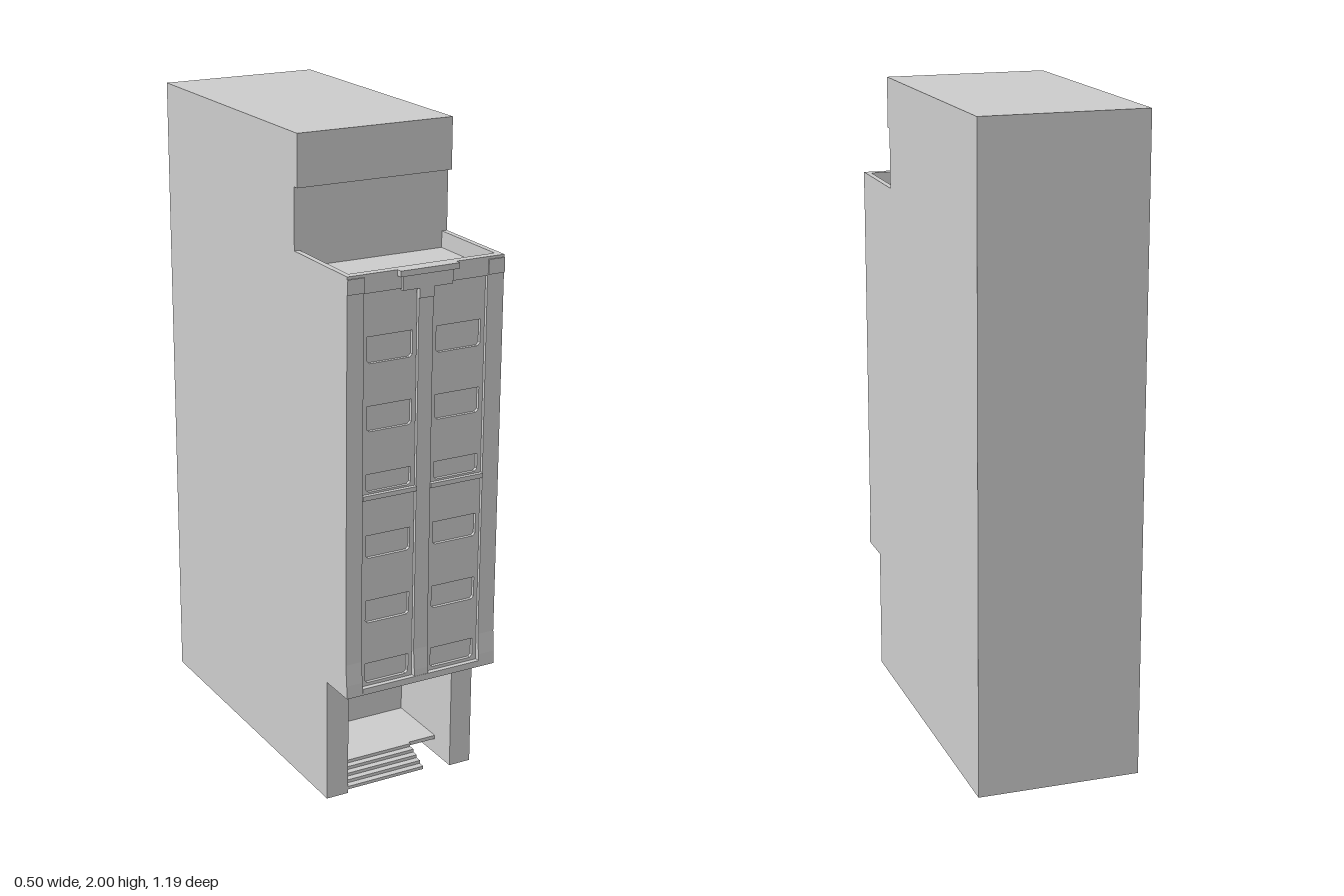
import * as THREE from 'three';

const W = 0.2525, BACK = -0.595, FACE = 0.575;

export function createModel() {
  const model = new THREE.Group();
  const mat = new THREE.MeshStandardMaterial({ color: 0xcccccc, side: THREE.DoubleSide, flatShading: true });

  const add = (name, geo) => {
    const mesh = new THREE.Mesh(geo, mat);
    mesh.name = name;
    model.add(mesh);
    return mesh;
  };
  const box = (name, [x0, x1], [y0, y1], [z0, z1]) =>
    add(name, new THREE.BoxGeometry(x1 - x0, y1 - y0, z1 - z0))
      .position.set((x0 + x1) / 2, (y0 + y1) / 2, (z0 + z1) / 2);
  // Thin sheet: the range with no extent gives its facing
  const panel = (name, [x0, x1], [y0, y1], [z0, z1]) => {
    let geo;
    if (x0 === x1) geo = new THREE.PlaneGeometry(z1 - z0, y1 - y0).rotateY(Math.PI / 2);
    else if (y0 === y1) geo = new THREE.PlaneGeometry(x1 - x0, z1 - z0).rotateX(-Math.PI / 2);
    else geo = new THREE.PlaneGeometry(x1 - x0, y1 - y0);
    add(name, geo).position.set((x0 + x1) / 2, (y0 + y1) / 2, (z0 + z1) / 2);
  };
  const poly = pts => new THREE.Shape(pts.map(p => new THREE.Vector2(...p)));
  const rect = (x0, x1, y0, y1) => poly([[x0, y0], [x1, y0], [x1, y1], [x0, y1]]);
  const plate = (name, shape, z0, z1) =>
    add(name, new THREE.ExtrudeGeometry(shape, { depth: z1 - z0, bevelEnabled: false }).translate(0, 0, z0));
  // Side profile in (z, y), swept from x0 to x1
  const sweep = (name, pts, x0, x1) =>
    add(name, new THREE.ExtrudeGeometry(poly(pts), { depth: x1 - x0, bevelEnabled: false })
      .rotateY(-Math.PI / 2).translate(x1, 0, 0));

  // Housing shell, open underneath
  const profile = [[BACK, 0], [0.46, 0], [0.46, 0.39], [FACE, 0.39], [FACE, 1.66],
    [0.265, 1.66], [0.265, 1.845], [0.285, 1.845], [0.285, 2], [BACK, 2]];
  for (const s of [-1, 1])
    add('sideWall', new THREE.ShapeGeometry(poly(profile)).rotateY(-Math.PI / 2).translate(s * W, 0, 0));
  const full = [-W, W];
  panel('backWall', full, [0, 2], [BACK, BACK]);
  panel('topWall', full, [2, 2], [BACK, 0.285]);
  panel('headFront', full, [1.845, 2], [0.285, 0.285]);
  panel('headUnderside', full, [1.845, 1.845], [0.265, 0.285]);
  panel('neckFront', full, [1.61, 1.845], [0.265, 0.265]);

  // Shallow tray on the shoulder
  panel('trayFloor', full, [1.61, 1.61], [0.265, 0.55]);
  for (const s of [-1, 1])
    box('trayRim', s < 0 ? [-W, -0.235] : [0.235, W], [1.61, 1.66], [0.265, 0.55]);

  // Lower front with its cavity
  panel('ledgeUnderside', full, [0.39, 0.39], [0.16, FACE]);
  panel('cavityBack', [-0.18, 0.18], [0.05, 0.39], [0.16, 0.16]);
  for (const s of [-1, 1]) {
    panel('cavitySide', [s * 0.18, s * 0.18], [0, 0.39], [0.16, 0.46]);
    panel('lowerFront', s < 0 ? [-W, -0.18] : [0.18, W], [0, 0.39], [0.46, 0.46]);
  }
  box('cavityFloor', [-0.18, 0.18], [0.05, 0.062], [0.16, 0.37]);

  // Stepped release clip
  const stairs = [[0.36, 0.05], [0.36, 0.062]];
  for (let i = 0; i < 5; i++) {
    const z = 0.38 + i * 0.02, y = 0.062 - i * 0.01;
    stairs.push([z, y], [z, y - 0.01]);
  }
  stairs.push([0.44, 0.006]);
  sweep('releaseClip', stairs, -0.18, 0.085);

  // Face plate with two marker columns, each in an upper and a lower half
  const face = rect(-W, W, 0.39, 1.66);
  const halves = [
    { y: [1.012, 1.605], windows: [[1.4, 1.478], [1.2, 1.275], [1.018, 1.072]] },
    { y: [0.41, 0.998], windows: [[0.815, 0.885], [0.612, 0.682], [0.42, 0.482]] },
  ];
  const columns = [[-0.2, -0.025], [0.022, 0.198]];
  for (const [x0, x1] of columns) {
    for (const { y: [y0, y1], windows } of halves) {
      face.holes.push(rect(x0, x1, y0, y1));
      const marker = rect(x0 + 0.002, x1 - 0.002, y0, y1);
      for (const [a, b] of windows) {
        const l = x0 + 0.015, r = x1 - 0.015, c = 0.008;
        marker.holes.push(poly([[l + c, a], [r - c, a], [r, a + c], [r, b], [l, b], [l, a + c]]));
      }
      plate('markerPlate', marker, 0.555, 0.568);
      panel('windowBack', [x0, x1], [y0, y1], [0.558, 0.558]);
    }
    box('columnDivider', [x0, x1], [0.998, 1.012], [0.555, 0.58]);
  }
  plate('facePlate', face, 0.55, FACE);

  // Flared foot of the face plate
  for (const [x0, x1] of [[-W, -0.2], [-0.025, 0.022], [0.198, W]])
    sweep('flaredFoot', [[FACE, 0.39], [0.583, 0.39], [0.581, 0.43], [FACE, 0.495]], x0, x1);
  sweep('footBar', [[FACE, 0.39], [0.583, 0.39], [0.583, 0.41], [FACE, 0.41]], -0.2, 0.198);

  // Latch at the top of the face
  box('latchTab', [-0.095, 0.095], [1.643, 1.66], [0.57, 0.593]);
  box('latchBody', [-0.08, 0.08], [1.6, 1.643], [0.56, 0.583]);
  box('latchStem', [-0.025, 0.022], [1.57, 1.6], [0.57, 0.58]);
  for (const s of [-1, 1])
    box('cornerLug', s < 0 ? [-W, -0.2] : [0.2, W], [1.608, 1.652], [0.57, 0.579]);

  return model;
}
